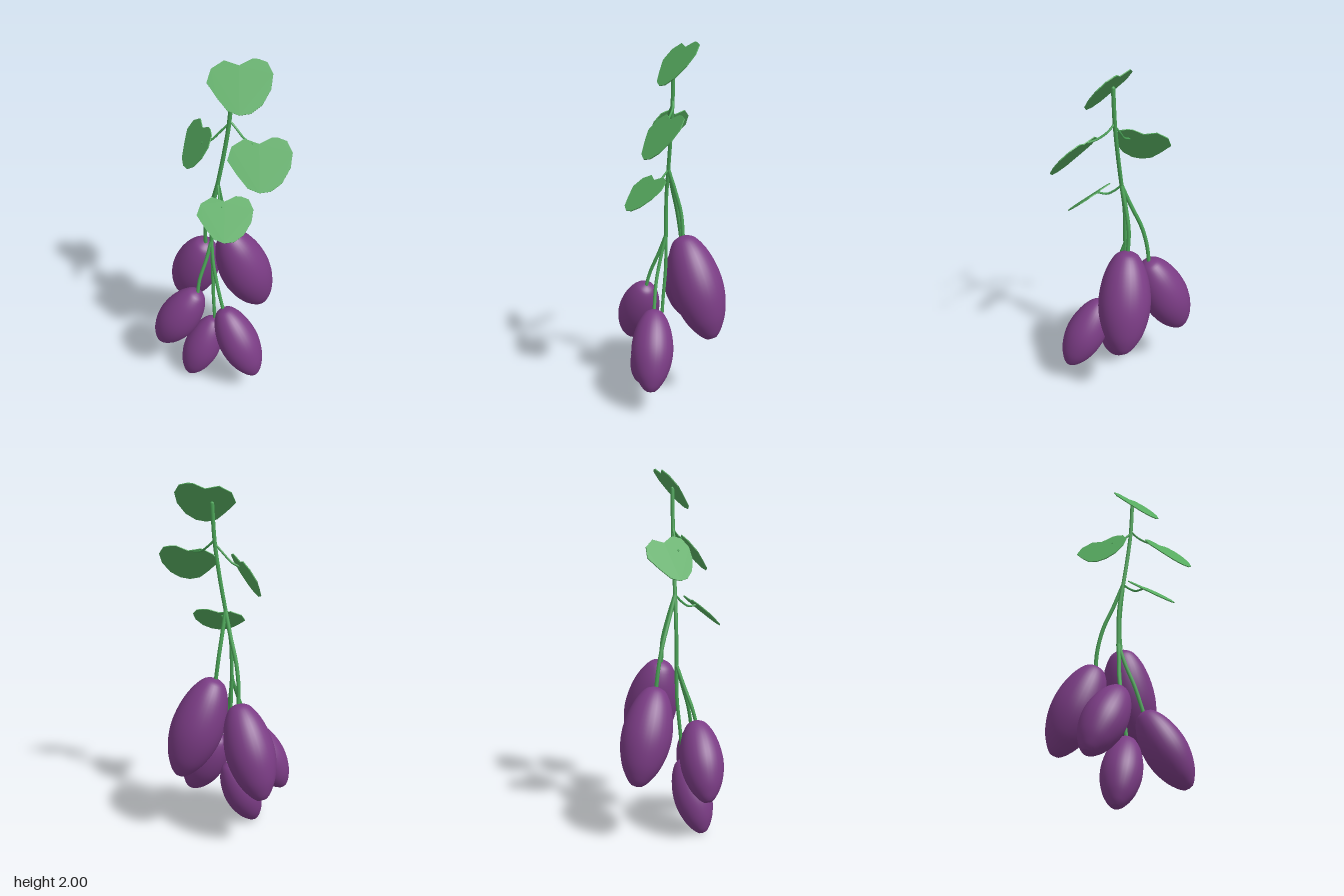
import * as THREE from 'three';

const V = (a) => new THREE.Vector3(...a);

export function createModel() {
  const model = new THREE.Group();
  model.name = 'fruitBranch';

  const material = (name, color) => {
    const m = new THREE.MeshStandardMaterial({ color });
    m.name = name;
    return m;
  };
  const purple = material('plumPurple', 0x7b3c85);
  const leafGreen = material('leafGreen', 0x57ac60);
  const stemGreen = material('stemGreen', 0x4aa356);

  const add = (name, geometry, mat) => {
    const mesh = new THREE.Mesh(geometry, mat);
    mesh.name = name;
    model.add(mesh);
    return mesh;
  };

  // Fruit: unit-length lathe, blunt tip at y = 0, pointed stalk end at y = 1
  const profile = new THREE.SplineCurve([
    [0.2, 0.008], [0.42, 0.06], [0.72, 0.18], [0.93, 0.34], [1, 0.5],
    [0.93, 0.67], [0.74, 0.83], [0.46, 0.95], [0.2, 0.99], [0, 1],
  ].map(([r, y]) => new THREE.Vector2(r, y))).getPoints(36);
  profile[profile.length - 1].x = 0;
  profile.unshift(new THREE.Vector2(0, 0));
  const fruitGeometry = new THREE.LatheGeometry(profile, 32);

  // name, stalk end, tip, radius
  const fruits = [
    ['backLeftFruit', [0.03, 0.95, -0.045], [0.225, 0.395, -0.14], 0.147],
    ['backRightFruit', [-0.1, 0.83, -0.1], [-0.26, 0.33, -0.24], 0.136],
    ['frontRightFruit', [-0.11, 0.635, 0.115], [-0.34, 0.245, 0.13], 0.117],
    ['frontLeftFruit', [0.03, 0.54, 0.125], [0.24, 0.15, 0.235], 0.116],
    ['lowestFruit', [-0.02, 0.4, 0.06], [-0.17, 0.01, 0.145], 0.106],
  ];
  for (const [name, top, tip, radius] of fruits) {
    const axis = V(top).sub(V(tip));
    const fruit = add(name, fruitGeometry, purple);
    fruit.position.copy(V(tip));
    fruit.scale.set(radius, axis.length(), radius);
    fruit.quaternion.setFromUnitVectors(new THREE.Vector3(0, 1, 0), axis.normalize());
  }

  // Stems: round tubes with capped ends
  const stem = (name, radius, points) => {
    const curve = new THREE.CatmullRomCurve3(points.map(V));
    add(name, new THREE.TubeGeometry(curve, 24, radius, 8), stemGreen);
    for (const p of [points[0], points[points.length - 1]]) {
      add(name + 'End', new THREE.SphereGeometry(radius, 8, 6), stemGreen).position.set(...p);
    }
  };
  stem('mainStem', 0.011, [[0.06, 1.89, 0.02], [0.047, 1.69, 0.02], [0.02, 1.5, 0.02],
    [-0.012, 1.32, 0.02], [-0.042, 1.15, 0.02], [-0.048, 0.93, 0.02]]);
  stem('backLeftStalk', 0.011, [[-0.012, 1.32, 0.02], [0, 1.2, -0.015], [0.015, 1.07, -0.045], [0.032, 0.93, -0.05]]);
  stem('backRightStalk', 0.011, [[-0.012, 1.32, 0.02], [-0.045, 1.19, -0.02], [-0.085, 1.05, -0.065],
    [-0.103, 0.92, -0.092], [-0.104, 0.81, -0.105]]);
  stem('frontRightStalk', 0.01, [[-0.048, 0.94, 0.02], [-0.072, 0.83, 0.055], [-0.105, 0.71, 0.095], [-0.115, 0.62, 0.118]]);
  stem('frontLeftStalk', 0.01, [[-0.048, 0.94, 0.02], [-0.032, 0.81, 0.06], [-0.002, 0.68, 0.1], [0.035, 0.53, 0.128]]);
  stem('lowestStalk', 0.01, [[-0.048, 0.94, 0.02], [-0.042, 0.75, 0.025], [-0.035, 0.56, 0.045], [-0.025, 0.39, 0.062]]);
  stem('rightLeafTwig', 0.006, [[0.045, 1.68, 0.02], [0, 1.63, 0.02], [-0.045, 1.582, 0.024], [-0.092, 1.56, 0.02]]);
  stem('leftLeafTwig', 0.006, [[0.048, 1.7, 0.02], [0.085, 1.665, 0.035], [0.13, 1.632, 0.07], [0.175, 1.622, 0.1]]);
  stem('lowLeafTwig', 0.006, [[-0.012, 1.32, 0.02], [0, 1.28, 0.06], [0.012, 1.255, 0.1], [0.03, 1.258, 0.148]]);

  // Leaves: thin heart-shaped plates, slightly lopsided
  const outline = [[-0.16, 0.01], [-0.145, 0.08], [-0.085, 0.125], [-0.01, 0.105], [0.05, 0.142],
    [0.08, 0.143], [0.125, 0.13], [0.158, 0.075], [0.155, 0], [0.12, -0.08], [0.07, -0.125],
    [0.015, -0.138], [-0.045, -0.12], [-0.105, -0.058]];
  const leafGeometry = new THREE.ExtrudeGeometry(
    new THREE.Shape(outline.map(([x, y]) => new THREE.Vector2(x, y))),
    { depth: 0.005, bevelEnabled: false });
  leafGeometry.translate(0, 0, -0.0025);

  // name, centre, upward tilt, turn about y, scale
  const leaves = [
    ['topLeaf', [0.095, 1.89, 0.031], 0.695, 0, 1],
    ['leftLeaf', [0.218, 1.545, 0.167], 0.695, 0, 1],
    ['lowLeaf', [0.05, 1.219, 0.197], 0.87, 0, 0.91],
    ['rightLeaf', [-0.143, 1.517, -0.03], 0.524, -1.117, 0.93],
  ];
  for (const [name, centre, tilt, turn, scale] of leaves) {
    const leaf = add(name, leafGeometry, leafGreen);
    leaf.position.set(...centre);
    leaf.rotation.set(-tilt, turn, 0, 'YXZ');
    leaf.scale.set(scale, scale, 1);
  }
  return model;
}
